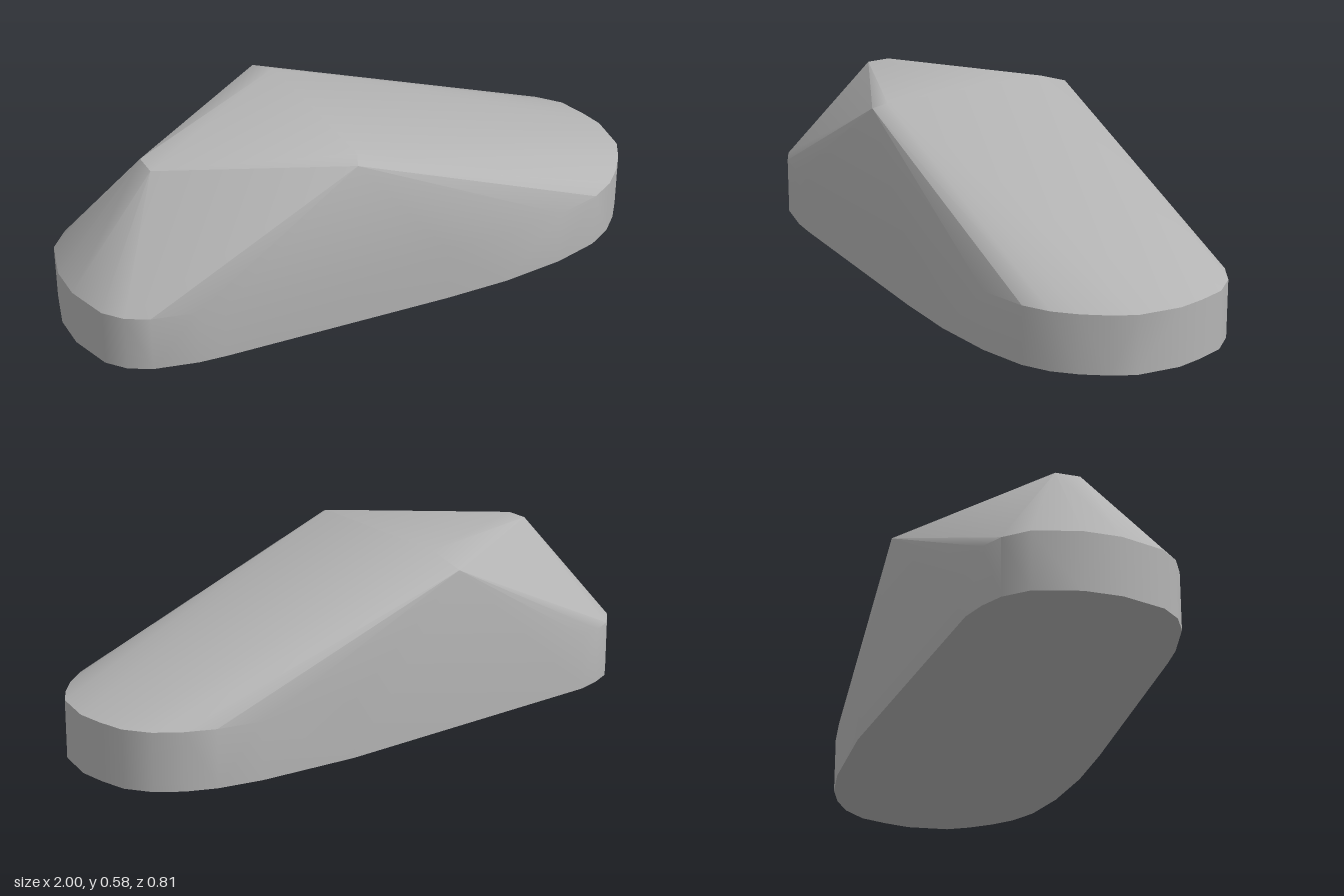
import * as THREE from 'three';
import { ConvexGeometry } from 'three/addons/geometries/ConvexGeometry.js';
import { toCreasedNormals } from 'three/addons/utils/BufferGeometryUtils.js';

// Rounded footprint as [x, z], going round from the blunt end
const FOOTPRINT = [
  [-1, 0.06], [-0.96, 0.2], [-0.91, 0.26], [-0.84, 0.3], [-0.7, 0.335], [-0.61, 0.345],
  [0.15, 0.398], [0.37, 0.405], [0.58, 0.39], [0.735, 0.355], [0.82, 0.31], [0.885, 0.25],
  [0.94, 0.18], [0.98, 0.11], [1, -0.03], [0.985, -0.12], [0.96, -0.21], [0.9, -0.285],
  [0.82, -0.335], [0.725, -0.37], [0.58, -0.393], [0.25, -0.403],
  [-0.74, -0.33], [-0.825, -0.305], [-0.895, -0.27], [-0.96, -0.2], [-1, -0.06],
];
const RIM_HEIGHT = 0.19;

// Peaks of the roof: a narrow tip at one end and a wide cross ridge
const PEAKS = [
  [-0.71, 0.54, 0.04], [-0.71, 0.54, -0.04],
  [-0.13, 0.58, 0.3], [-0.15, 0.565, 0.345],
  [-0.13, 0.58, -0.29], [-0.15, 0.54, -0.405],
];

export function createModel() {
  const group = new THREE.Group();
  group.name = 'facetedWedge';

  const grey = new THREE.MeshStandardMaterial({ color: 0xb4b4b4 });
  grey.name = 'grey';

  // Upright base wall and roof form one convex skin
  const points = PEAKS.map((p) => new THREE.Vector3(...p));
  for (const [x, z] of FOOTPRINT) {
    points.push(new THREE.Vector3(x, 0, z), new THREE.Vector3(x, RIM_HEIGHT, z));
  }

  // Soft ridges, crisp rim and underside
  const body = new THREE.Mesh(toCreasedNormals(new ConvexGeometry(points), 0.62), grey);
  body.name = 'body';
  group.add(body);
  return group;
}
